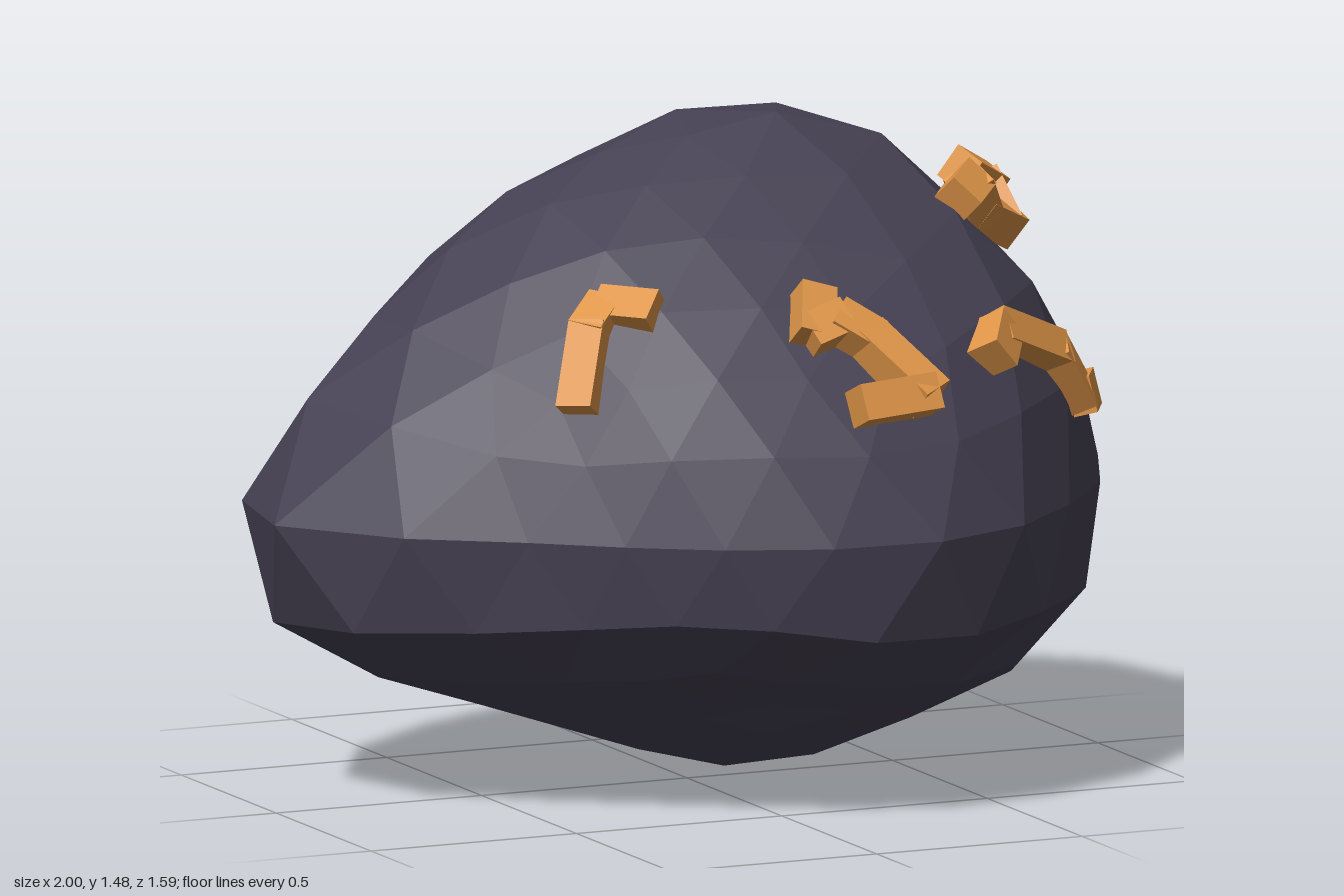
import * as THREE from 'three';
import { mergeVertices } from 'three/addons/utils/BufferGeometryUtils.js';

// How far the boulder reaches from its middle, at even angles counterclockwise
// around sight lines with the given turn and tilt in degrees
const OUTLINES = [
  { turn: 0, tilt: 0, reach: [1, .91, .83, .82, .775, .71, .67, .76, .91, 1, 1.02, .925, .75, .7, .76, .85, .95, 1.035] },
  { turn: 90, tilt: 0, reach: [.79, .71, .715, .74, .75, .73, .655, .63, .72, .79, .83, .78, .675, .71, .75, .755, .79, .825] },
  { turn: 0, tilt: 90, reach: [1, 1.01, .96, .9, .83, .76, .78, .915, 1, 1, .93, .79, .71, .765, .825, .85, .86, .94] },
  { turn: 35, tilt: 25, reach: [.98, .825, .77, .71, .695, .8, .83, .75, .675, .72, .89, 1.01] },
  { turn: 215, tilt: 25, reach: [.83, .61, .615, .72, .825, .87, .98, .94, .815, .71, .825, .915] },
  { turn: 140, tilt: -25, reach: [.91, .7, .71, .81, .83, .84, .86, .88, .74, .62, .86, .98] },
];
const MIDDLE_Y = .74, CENTRE_Y = .65;

// Every measured direction with its reach from the boulder's centre
function reachTargets() {
  return OUTLINES.flatMap(({ turn, tilt, reach }) => {
    const turned = new THREE.Euler(-THREE.MathUtils.degToRad(tilt), THREE.MathUtils.degToRad(turn), 0, 'YXZ');
    return reach.map((far, k) => {
      const angle = k / reach.length * Math.PI * 2;
      const dir = new THREE.Vector3(Math.cos(angle), Math.sin(angle), 0).applyEuler(turned);
      return { dir, far: far + dir.y * (MIDDLE_Y - CENTRE_Y) };
    });
  });
}

function boulderGeometry() {
  // Icosphere with a vertex at each pole
  let geo = new THREE.IcosahedronGeometry(1, 3);
  geo.deleteAttribute('normal');
  geo.deleteAttribute('uv');
  geo = mergeVertices(geo, 1e-3);
  geo.rotateX(-Math.atan((1 + Math.sqrt(5)) / 2)).rotateY(Math.PI / 2);
  const pos = geo.attributes.position;
  const rays = Array.from({ length: pos.count }, (_, i) => new THREE.Vector3().fromBufferAttribute(pos, i).normalize());

  // Start from an ellipsoid, then softly push and pull it to the measured reaches
  const radius = rays.map(u => 1 / Math.hypot(u.x, u.y / .74, u.z / .79));
  const targets = reachTargets();
  const passes = 80;
  for (let pass = 0; pass < passes; pass++) {
    const gain = .4 * (1 - pass / passes);
    for (const { dir, far } of targets) {
      let best = -1, tip = 0;
      rays.forEach((u, i) => {
        const d = u.dot(dir) * radius[i];
        if (d > best) { best = d; tip = i; }
      });
      const push = gain * (far - best);
      rays.forEach((u, i) => { radius[i] += push * Math.exp((u.dot(rays[tip]) - 1) / .1); });
    }
  }
  rays.forEach((u, i) => pos.setXYZ(i, u.x * radius[i], u.y * radius[i] + CENTRE_Y, u.z * radius[i]));
  geo = geo.toNonIndexed();
  geo.computeVertexNormals();
  return geo;
}

// Ore veins: chains of square bars from point to point
const VEINS = {
  rightVein: [[-.44, .94, .39], [-.38, 1.09, .32], [-.33, 1.13, .29], [-.26, 1.13, .38]],
  middleVein: [[.08, 1.16, .49], [.05, 1.09, .55], [.12, 1.11, .54], [.18, 1.07, .57], [.27, .96, .68], [.11, .95, .69]],
  leftVein: [[.49, 1.01, .55], [.53, 1.05, .49], [.71, .97, .39], [.78, .86, .36], [.82, .86, .29]],
  upperVein: [[.56, 1.3, .22], [.61, 1.32, .17], [.65, 1.25, .13], [.73, 1.21, .09], [.71, 1.29, .03], [.64, 1.33, .07]],
};

function bar(from, to, material) {
  const a = new THREE.Vector3(...from), b = new THREE.Vector3(...to);
  const mesh = new THREE.Mesh(new THREE.BoxGeometry(.083, .083, a.distanceTo(b) + .03), material);
  mesh.position.copy(a).add(b).multiplyScalar(.5);
  // Keep one face of the bar turned away from the stone
  mesh.up.set(mesh.position.x, mesh.position.y - CENTRE_Y, mesh.position.z).normalize();
  mesh.lookAt(b);
  mesh.name = 'oreBar';
  return mesh;
}

export function createModel() {
  const stone = new THREE.MeshStandardMaterial({ color: 0x464153 });
  stone.name = 'darkStone';
  const ore = new THREE.MeshStandardMaterial({ color: 0xdd9447 });
  ore.name = 'copperOre';

  const model = new THREE.Group();
  model.name = 'oreBoulder';
  const boulder = new THREE.Mesh(boulderGeometry(), stone);
  boulder.name = 'boulder';
  model.add(boulder);

  for (const [name, points] of Object.entries(VEINS)) {
    const vein = new THREE.Group();
    vein.name = name;
    for (let i = 1; i < points.length; i++) vein.add(bar(points[i - 1], points[i], ore));
    model.add(vein);
  }
  return model;
}
